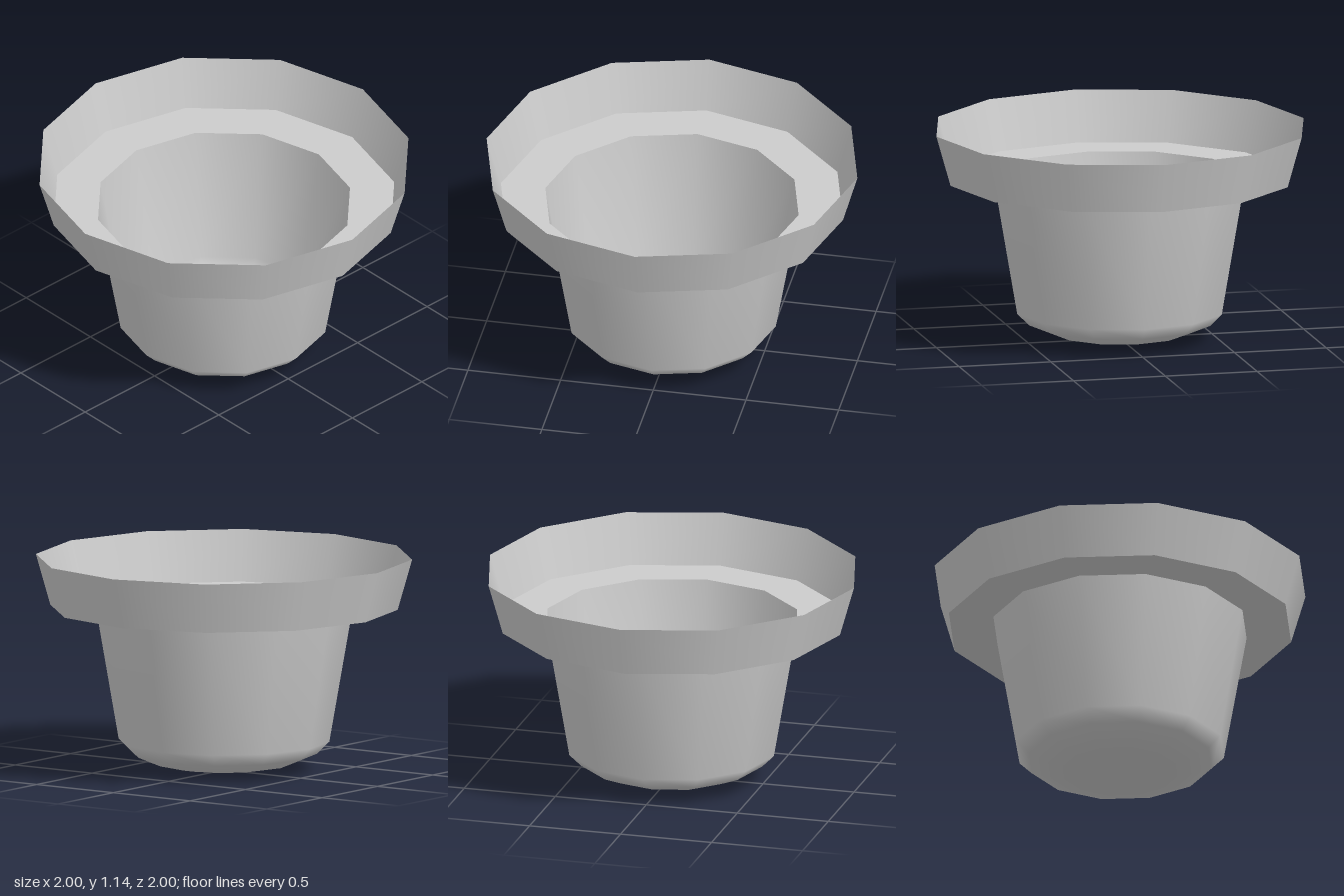
import * as THREE from 'three';

const SIDES = 12;

export function createModel() {
  const group = new THREE.Group();
  const material = new THREE.MeshStandardMaterial({ color: 0xcccccc, side: THREE.DoubleSide });

  // Each part is a thin twelve-sided shell turned from a [radius, height] profile
  const addShell = (name, profile) => {
    const points = profile.map(([r, y]) => new THREE.Vector2(r, y));
    const mesh = new THREE.Mesh(new THREE.LatheGeometry(points, SIDES), material);
    mesh.name = name;
    group.add(mesh);
  };

  // Tapered cup with a shallow rounded bottom
  addShell('cup', [[0, 0], [0.28, 0.025], [0.37, 0.042], [0.495, 0.095], [0.56, 0.16], [0.683, 0.87]]);
  // Flat step between cup and collar
  addShell('ledge', [[0.683, 0.87], [0.923, 0.87]]);
  // Flared collar, open at the top
  addShell('collar', [[0.923, 0.87], [1, 1.14]]);

  return group;
}
